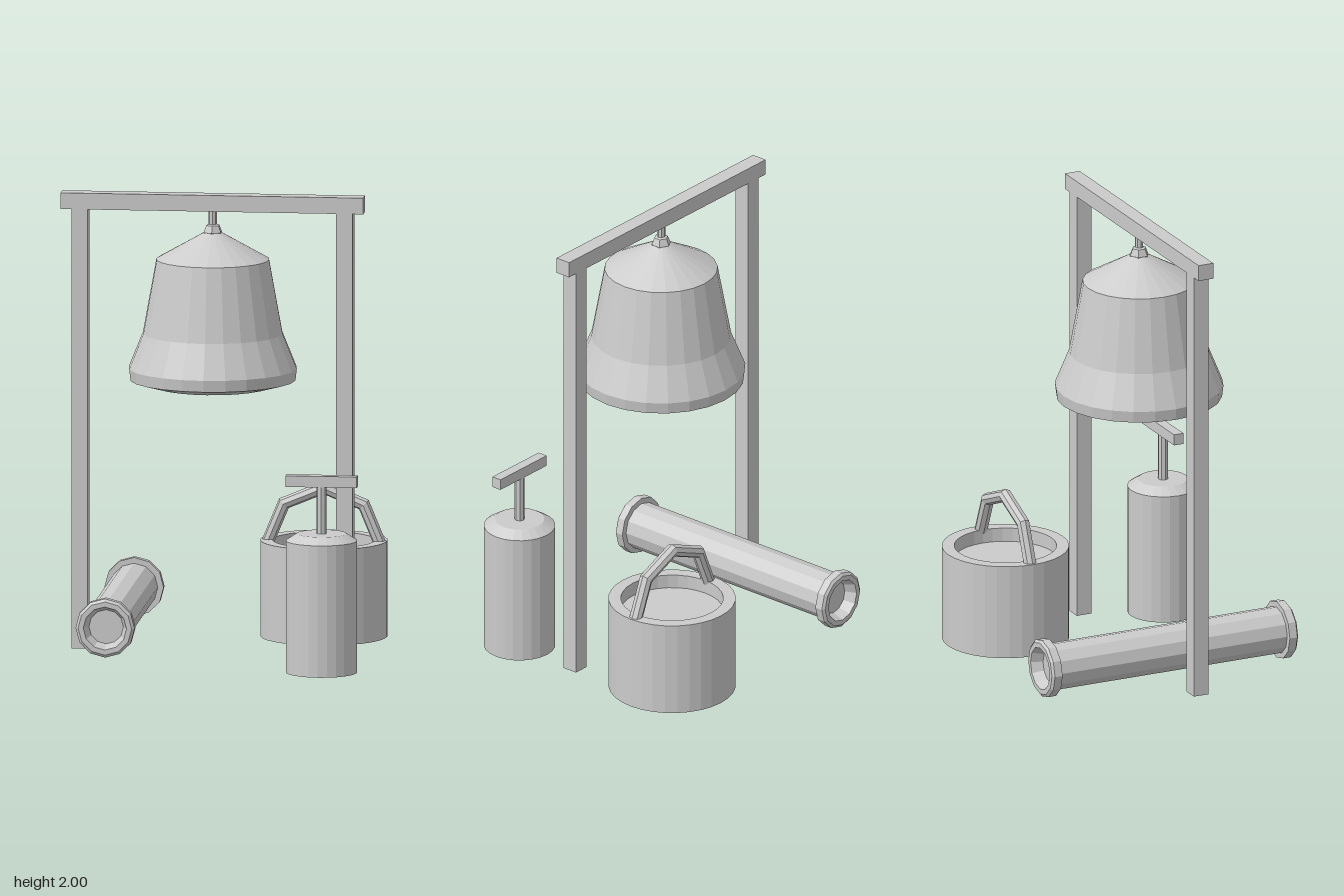
import * as THREE from 'three';

const material = new THREE.MeshStandardMaterial({ color: 0xcccccc, flatShading: true });

export function createModel() {
  const model = new THREE.Group();

  const add = (parent, name, geometry, x = 0, y = 0, z = 0) => {
    const mesh = new THREE.Mesh(geometry, material);
    mesh.name = name;
    mesh.position.set(x, y, z);
    parent.add(mesh);
    return mesh;
  };
  const group = (name, x, z) => {
    const g = new THREE.Group();
    g.name = name;
    g.position.set(x, 0, z);
    model.add(g);
    return g;
  };
  // Profiles run from the bottom centre, around the outside, to the top centre
  const lathe = (profile, sides) =>
    new THREE.LatheGeometry(profile.map(([r, y]) => new THREE.Vector2(r, y)), sides);

  // Frame: two posts under a crossbeam
  const frame = group('frame', -0.03, 0.09);
  add(frame, 'crossbeam', new THREE.BoxGeometry(1.3, 0.07, 0.07), 0, 1.965, 0);
  for (const side of [-1, 1]) {
    add(frame, side < 0 ? 'rightPost' : 'leftPost',
      new THREE.BoxGeometry(0.07, 1.9, 0.07), side * 0.569, 0.98, 0);
  }

  // Bell with its hanger
  const bell = group('bell', -0.03, 0.09);
  add(bell, 'bellBody', lathe([
    [0, 1.2], [0.247, 1.17], [0.355, 1.2], [0.361, 1.25], [0.3, 1.4],
    [0.242, 1.72], [0.03, 1.84], [0, 1.845],
  ], 24));
  const knob = add(bell, 'hangerKnob', new THREE.SphereGeometry(0.043, 6, 4), 0, 1.836, 0);
  knob.rotation.y = Math.PI / 2;
  add(bell, 'hangerRod', new THREE.CylinderGeometry(0.018, 0.018, 0.1, 8), 0, 1.89, 0);

  // Pipe lying front to back, with end collars and shallow sockets
  const half = [[0, 0.535], [0.074, 0.535], [0.093, 0.585], [0.115, 0.585],
    [0.127, 0.576], [0.127, 0.54], [0.102, 0.54]];
  const pipe = add(model, 'pipe', lathe([
    ...half.map(([r, y]) => [r, -y]),
    ...half.slice().reverse(),
  ], 12), -0.438, 0.194, 0.005);
  pipe.rotation.x = Math.PI / 2;

  // Pail with a recessed top and a bail handle
  const pail = group('pail', 0.4, -0.335);
  add(pail, 'pailBody', lathe([
    [0, 0.03], [0.272, 0.03], [0.272, 0.445], [0.219, 0.445], [0.219, 0.385], [0, 0.385],
  ], 32));
  add(pail, 'pailHandle', new THREE.TorusGeometry(0.243, 0.029, 8, 4, Math.PI), 0, 0.428, 0);

  // Plunger: canister, rod and T-handle
  const plunger = group('plunger', 0.478, 0.452);
  add(plunger, 'canister', lathe([
    [0, 0], [0.153, 0], [0.153, 0.57], [0.106, 0.6], [0, 0.6],
  ], 24));
  add(plunger, 'plungerRod', new THREE.CylinderGeometry(0.022, 0.022, 0.22, 8), 0, 0.7, 0);
  add(plunger, 'plungerHandle', new THREE.BoxGeometry(0.306, 0.048, 0.045), 0, 0.826, 0);

  return model;
}
